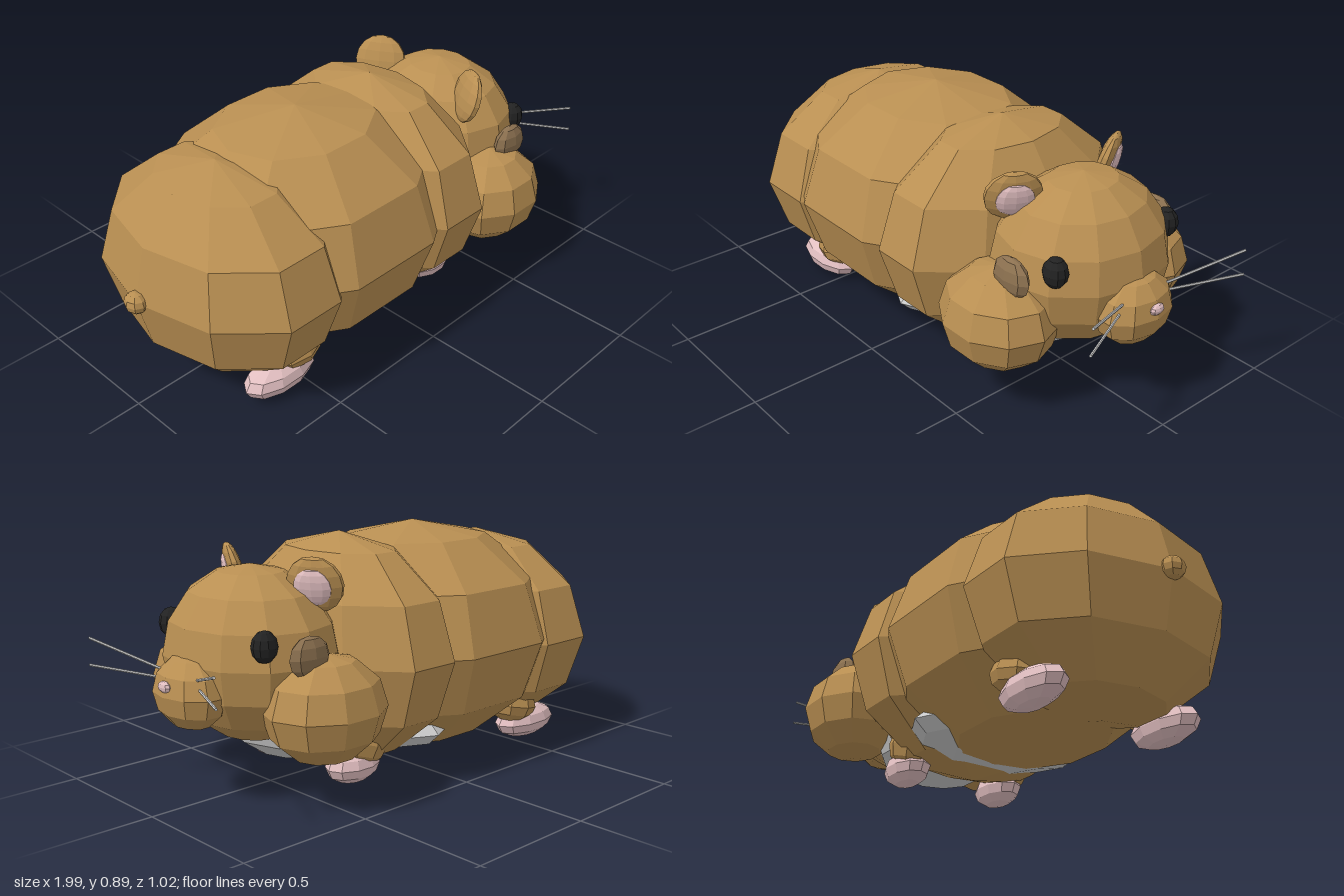
import * as THREE from 'three';

const mat = (color) => new THREE.MeshStandardMaterial({ color, flatShading: true });

export function createModel() {
  const model = new THREE.Group();
  const fur = mat(0xb98f52), pink = mat(0xe3c0c2), grey = mat(0xcccccc);
  const black = mat(0x222222), patch = mat(0x8c7150);

  // Faceted ellipsoid: p = centre, r = radii
  function blob(name, p, r, material, w = 10, h = 6, rot = [0, 0, 0]) {
    const mesh = new THREE.Mesh(new THREE.SphereGeometry(1, w, h), material);
    mesh.name = name;
    mesh.position.set(...p);
    mesh.scale.set(...r);
    mesh.rotation.set(...rot);
    model.add(mesh);
    return mesh;
  }

  // Thin rod between two points
  function rod(name, a, b, radius) {
    const from = new THREE.Vector3(...a), to = new THREE.Vector3(...b);
    const dir = to.clone().sub(from);
    const mesh = new THREE.Mesh(new THREE.CylinderGeometry(radius, radius, dir.length(), 6), grey);
    mesh.name = name;
    mesh.position.copy(from).add(to).multiplyScalar(0.5);
    mesh.quaternion.setFromUnitVectors(new THREE.Vector3(0, 1, 0), dir.normalize());
    model.add(mesh);
  }

  // Torso: three overlapping volumes
  blob('rump', [-0.59, 0.43, 0], [0.37, 0.40, 0.505], fur);
  blob('body', [-0.22, 0.455, 0], [0.62, 0.44, 0.526], fur);
  blob('shoulders', [0.16, 0.46, 0], [0.32, 0.425, 0.515], fur);
  blob('tail', [-0.96, 0.435, 0], [0.04, 0.04, 0.045], fur, 8, 6);

  // Pale underside
  blob('belly', [0, 0.15, 0], [0.3, 0.09, 0.36], grey, 8, 6);
  blob('chest', [0.38, 0.27, 0], [0.27, 0.185, 0.28], grey);

  // Head
  blob('head', [0.57, 0.5, 0], [0.295, 0.31, 0.335], fur, 12, 8);
  blob('muzzle', [0.83, 0.405, 0], [0.11, 0.13, 0.158], fur);
  blob('nose', [0.93, 0.44, 0], [0.016, 0.02, 0.032], pink, 8, 6);

  for (const s of [1, -1]) {
    const side = s > 0 ? 'right' : 'left';

    // Face
    blob(side + 'CheekPouch', [0.515, 0.352, s * 0.32], [0.225, 0.19, 0.2], fur);
    blob(side + 'CheekPatch', [0.6, 0.545, s * 0.345], [0.085, 0.072, 0.036], patch, 8, 6);
    blob(side + 'Eye', [0.72, 0.585, s * 0.264], [0.046, 0.055, 0.043], black);

    // Ear: flattened shell turned outward, with a pink inner disc
    const turn = [0, -s * 0.52, -0.28];
    blob(side + 'Ear', [0.47, 0.752, s * 0.225], [0.032, 0.102, 0.105], fur, 10, 8, turn);
    blob(side + 'InnerEar', [0.488, 0.745, s * 0.233], [0.022, 0.067, 0.07], pink, 10, 8, turn);

    // Whiskers
    rod(side + 'UpperWhisker', [0.87, 0.47, s * 0.1], [0.99, 0.553, s * 0.365], 0.005);
    rod(side + 'LowerWhisker', [0.87, 0.44, s * 0.11], [0.99, 0.456, s * 0.37], 0.005);

    // Legs and feet
    blob(side + 'FrontLeg', [0.25, 0.15, s * 0.22], [0.1, 0.09, 0.08], fur, 8, 6, [0, 0, 0.3]);
    blob(side + 'FrontFoot', [0.29, 0.073, s * 0.21], [0.115, 0.066, 0.077], pink);
    blob(side + 'BackLeg', [-0.51, 0.15, s * 0.285], [0.11, 0.07, 0.085], fur, 8, 6, [0, 0, 0.2]);
    blob(side + 'BackFoot', [-0.59, 0.073, s * 0.285], [0.157, 0.066, 0.077], pink);
  }
  return model;
}
